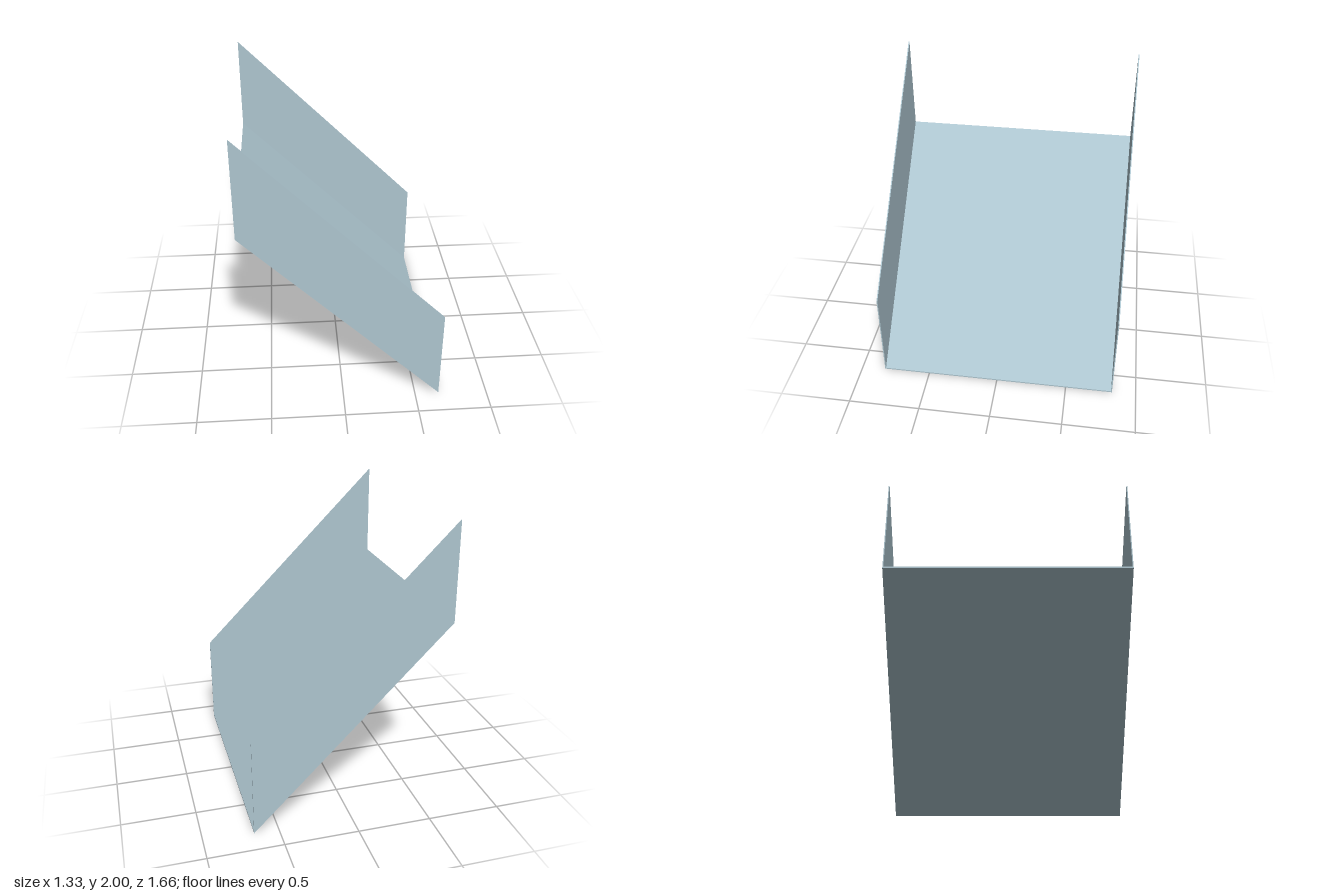
import * as THREE from 'three';

const HALF_X = 0.665, HALF_Z = 0.832, SLOPE_TOP = 1.335, WALL_TOP = 2;
const THICK = 0.007;

// Sloping parallelogram plate in the xy plane, extruded along z and centred on z = 0
function slopedPlate(height, depth) {
  const shape = new THREE.Shape([
    new THREE.Vector2(-HALF_X, SLOPE_TOP),
    new THREE.Vector2(HALF_X, 0),
    new THREE.Vector2(HALF_X, height),
    new THREE.Vector2(-HALF_X, SLOPE_TOP + height),
  ]);
  const geometry = new THREE.ExtrudeGeometry(shape, { depth, bevelEnabled: false });
  return geometry.translate(0, 0, -depth / 2);
}

export function createModel() {
  const group = new THREE.Group();
  group.name = 'slopedChannel';

  const metal = new THREE.MeshStandardMaterial({ color: 0xadc5cf });
  metal.name = 'pale blue grey metal';

  // Sloping floor between the walls
  const floor = new THREE.Mesh(slopedPlate(0.01, 2 * (HALF_Z - THICK)), metal);
  floor.name = 'floor';
  group.add(floor);

  // Upright side walls, sheared to follow the slope
  for (const [name, side] of [['frontWall', 1], ['backWall', -1]]) {
    const wall = new THREE.Mesh(slopedPlate(WALL_TOP - SLOPE_TOP, THICK), metal);
    wall.name = name;
    wall.position.z = side * (HALF_Z - THICK / 2);
    group.add(wall);
  }

  return group;
}
